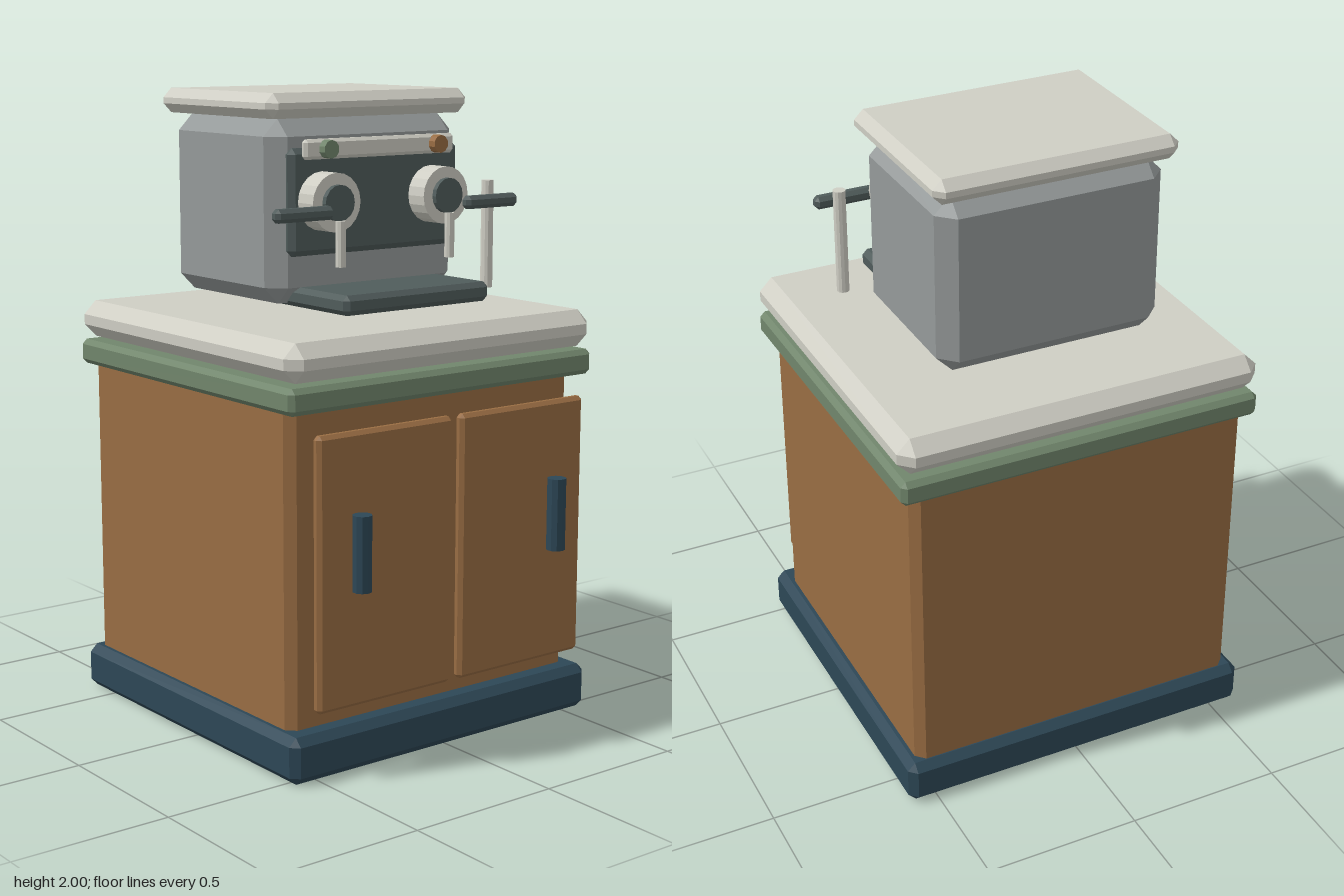
import * as THREE from 'three';
import { ConvexGeometry } from 'three/addons/geometries/ConvexGeometry.js';

const mat = (name, color) => {
  const m = new THREE.MeshStandardMaterial({ color });
  m.name = name;
  return m;
};

// Box with chamfered edges and corners
function chamferBox(w, h, d, b) {
  const x = w / 2, y = h / 2, z = d / 2, pts = [];
  for (const i of [-1, 1]) for (const j of [-1, 1]) for (const k of [-1, 1]) {
    pts.push(
      new THREE.Vector3(i * x, j * (y - b), k * (z - b)),
      new THREE.Vector3(i * (x - b), j * y, k * (z - b)),
      new THREE.Vector3(i * (x - b), j * (y - b), k * z));
  }
  return new ConvexGeometry(pts);
}

export function createModel() {
  const cream = mat('cream', 0xcfcec4);
  const wood = mat('wood', 0x996d43);
  const green = mat('sage green', 0x71866c);
  const navy = mat('navy', 0x2d4756);
  const steel = mat('steel grey', 0x959a9a);
  const dark = mat('dark slate', 0x505c5b);

  const group = new THREE.Group();
  group.name = 'coffeeStation';

  const add = (name, geometry, material, x, y, z) => {
    const mesh = new THREE.Mesh(geometry, material);
    mesh.name = name;
    mesh.position.set(x, y, z);
    group.add(mesh);
    return mesh;
  };
  // Block given by its extents on each axis
  const block = (name, material, [x0, x1], [y0, y1], [z0, z1], b) =>
    add(name, chamferBox(x1 - x0, y1 - y0, z1 - z0, b), material,
      (x0 + x1) / 2, (y0 + y1) / 2, (z0 + z1) / 2);
  // Upright rod between two heights
  const rod = (name, material, r, x, [y0, y1], z, sides) =>
    add(name, new THREE.CylinderGeometry(r, r, y1 - y0, sides).toNonIndexed(), material,
      x, (y0 + y1) / 2, z).geometry.computeVertexNormals();
  // Disc facing the front
  const disc = (name, material, r, x, y, [z0, z1], sides) => {
    const g = new THREE.CylinderGeometry(r, r, z1 - z0, sides).toNonIndexed();
    g.rotateX(Math.PI / 2);
    g.computeVertexNormals();
    add(name, g, material, x, y, (z0 + z1) / 2);
  };

  // Cabinet
  block('plinth', navy, [-0.595, 0.592], [0, 0.145], [-0.637, 0.55], 0.025);
  block('cabinetBody', wood, [-0.558, 0.555], [0.09, 1.135], [-0.608, 0.479], 0.028);
  block('trimBand', green, [-0.595, 0.592], [1.107, 1.187], [-0.631, 0.541], 0.016);
  block('countertop', cream, [-0.597, 0.593], [1.197, 1.314], [-0.637, 0.551], 0.042);

  // Espresso machine housing
  block('machineBody', steel, [-0.368, 0.364], [1.36, 1.921], [-0.42, 0.147], 0.052);
  block('machineLid', cream, [-0.393, 0.389], [1.923, 2], [-0.446, 0.17], 0.029);
  block('frontPanel', dark, [-0.332, 0.328], [1.51, 1.836], [0.142, 0.185], 0.018);
  block('controlStrip', cream, [-0.294, 0.29], [1.802, 1.863], [0.18, 0.208], 0.01);
  block('dripTray', dark, [-0.286, 0.282], [1.351, 1.412], [0, 0.396], 0.016);
  rod('steamWand', cream, 0.02, 0.412, [1.367, 1.711], 0.23, 12);

  // Mirrored parts: doors, brew heads and buttons
  for (const s of [-1, 1]) {
    const side = s < 0 ? 'right' : 'left';
    const at = v => s * v - 0.002;
    const span = (a, b) => [at(a), at(b)].sort((p, q) => p - q);

    block(side + 'Door', wood, span(0.016, 0.522), [0.217, 1.049], [0.541, 0.578], 0.012);
    rod(side + 'DoorHandle', navy, 0.03, at(0.386), [0.578, 0.808], 0.606, 10);

    disc(side + 'Button', s < 0 ? green : wood, 0.028, at(0.214), 1.833, [0.2, 0.236], 10);
    disc(side + 'BrewHead', cream, 0.09, at(0.214), 1.675, [0.18, 0.26], 20);
    disc(side + 'BrewHub', dark, 0.055, at(0.214), 1.675, [0.25, 0.277], 16);
    block(side + 'BrewHandle', dark, span(0.26, 0.473), [1.631, 1.672], [0.275, 0.316], 0.012);
    rod(side + 'Spout', cream, 0.016, at(0.214), [1.483, 1.622], 0.279, 10);
  }
  return group;
}
